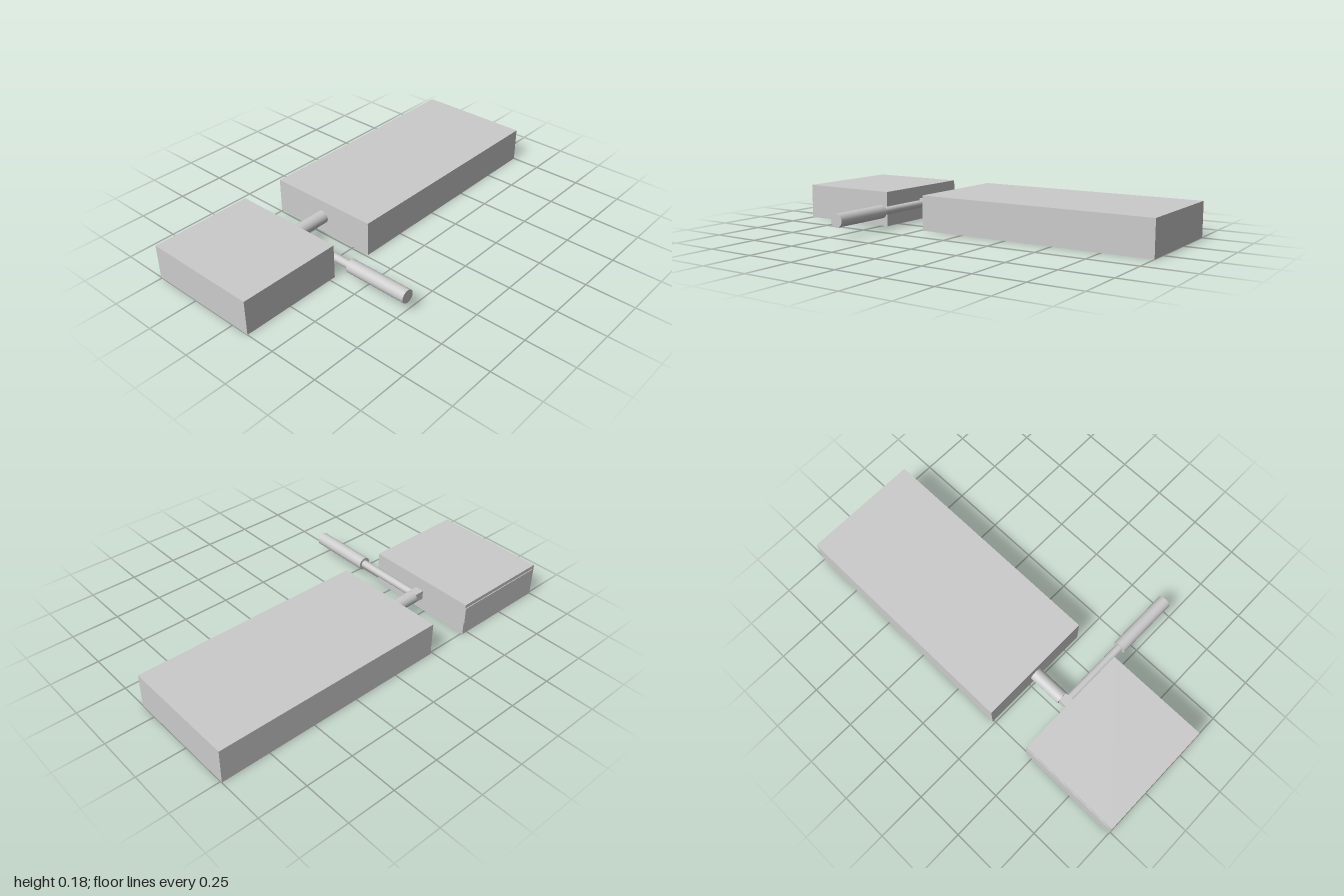
import * as THREE from 'three';

const AXIS_Y = 0.09; // shared height of shaft, rod and grip
const SHAFT_X = -0.205;

export function createModel() {
  const model = new THREE.Group();
  const material = new THREE.MeshStandardMaterial({ color: 0xcccccc });

  const add = (name, geometry) => {
    const mesh = new THREE.Mesh(geometry, material);
    mesh.name = name;
    model.add(mesh);
    return mesh;
  };
  const box = (name, [x0, x1], [y0, y1], [z0, z1]) =>
    add(name, new THREE.BoxGeometry(x1 - x0, y1 - y0, z1 - z0))
      .position.set((x0 + x1) / 2, (y0 + y1) / 2, (z0 + z1) / 2);
  // Cylinder lying along x
  const barX = (name, radius, x0, x1, z) =>
    add(name, new THREE.CylinderGeometry(radius, radius, x1 - x0, 32).rotateZ(Math.PI / 2))
      .position.set((x0 + x1) / 2, AXIS_Y, z);

  // The two slabs
  box('rearBlock', [-0.508, 0.096], [0, 0.18], [-1, 0.238]);
  box('frontBlock', [-0.508, 0.096], [0, 0.18], [0.468, 1]);

  // Shaft and square joint between the slabs
  add('shaft', new THREE.CylinderGeometry(0.034, 0.034, 0.18, 32).rotateX(Math.PI / 2))
    .position.set(SHAFT_X, AXIS_Y, 0.325);
  box('joint', [SHAFT_X - 0.024, SHAFT_X + 0.024], [AXIS_Y - 0.024, AXIS_Y + 0.024], [0.41, 0.47]);

  // Side handle: thin rod with a thicker grip
  barX('handleRod', 0.02, -0.19, 0.18, 0.44);
  barX('handleGrip', 0.034, 0.175, 0.512, 0.44);

  // Thin triangular plate on the side of the front slab (drawn in z, y)
  const outline = new THREE.Shape([
    new THREE.Vector2(-0.468, 0.07),
    new THREE.Vector2(-0.468, 0.16),
    new THREE.Vector2(-0.985, 0.16),
  ]);
  const plate = new THREE.ExtrudeGeometry(outline, { depth: 0.006, bevelEnabled: false });
  add('sidePlate', plate.rotateY(Math.PI / 2)).position.x = -0.512;

  return model;
}
